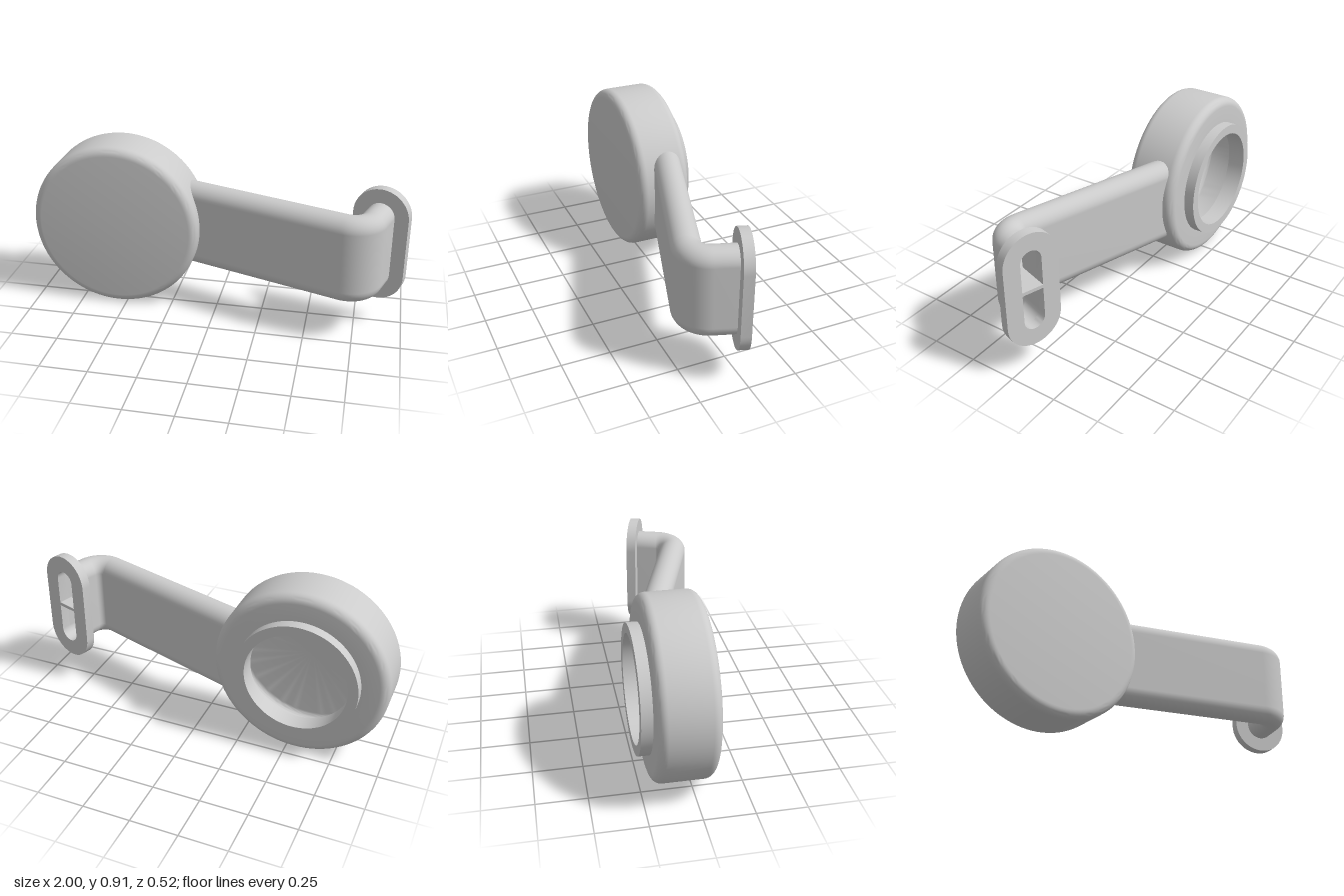
import * as THREE from 'three';
import { toCreasedNormals } from 'three/addons/utils/BufferGeometryUtils.js';

const material = new THREE.MeshStandardMaterial({ color: 0xcccccc });
const TILT = 0.314;              // angle of the arm in plan
const CX = -0.547, CY = 0.455;   // axis of the round housing

function part(name, geometry) {
  const mesh = new THREE.Mesh(geometry, material);
  mesh.name = name;
  return mesh;
}

// Points of a quarter round for a profile
function fillet(cx, cy, r, from, to, steps = 8) {
  return Array.from({ length: steps + 1 }, (_, i) => {
    const a = THREE.MathUtils.degToRad(from + (to - from) * i / steps);
    return new THREE.Vector2(cx + r * Math.cos(a), cy + r * Math.sin(a));
  });
}

// Upright stadium outline, counter-clockwise
function stadium(r, halfHeight, steps = 16) {
  const k = halfHeight - r;
  return [...fillet(0, k, r, 0, 180, steps), ...fillet(0, -k, r, 180, 360, steps)];
}

// Sweeps a section along the arm: straight run, right-angle bend, short neck.
// The first ring is trimmed to the curve of the round housing.
function sweepArm(section, endZ, cap = false) {
  const bend = { x: 0.699, z: -0.144, r: 0.105 }, steps = 16;
  const stations = [{ x: 0, z: bend.z + bend.r, dx: 0, dz: 1 }];
  for (let i = 0; i <= steps; i++) {
    const a = i / steps * Math.PI / 2, dx = Math.sin(a), dz = Math.cos(a);
    stations.push({ x: bend.x + bend.r * dx, z: bend.z + bend.r * dz, dx, dz });
  }
  stations.push({ x: bend.x + bend.r, z: endZ, dx: 1, dz: 0 });

  const positions = [], index = [], n = section.length;
  stations.forEach((s, i) => {
    section.forEach((p, j) => {
      let x = s.x + p.x * s.dx;
      const z = s.z + p.x * s.dz;
      if (i === 0) {
        const worldX = CX + Math.sqrt(0.43 ** 2 - p.y ** 2);
        x = (worldX + z * Math.sin(TILT)) / Math.cos(TILT);
      }
      positions.push(x, p.y, z);
      if (i < stations.length - 1) {
        const a = i * n + j, b = i * n + (j + 1) % n;
        index.push(a, a + n, b, b, a + n, b + n);
      }
    });
  });
  if (cap) {
    const o = (stations.length - 1) * n;
    for (let j = 1; j < n - 1; j++) index.push(o, o + j + 1, o + j);
  }
  const g = new THREE.BufferGeometry();
  g.setAttribute('position', new THREE.Float32BufferAttribute(positions, 3));
  g.setIndex(index);
  g.computeVertexNormals();
  return g;
}

export function createModel() {
  const model = new THREE.Group();
  model.name = 'wallArm';

  // Hollow round housing with an open collar at the back
  const profile = [
    new THREE.Vector2(0, 0.042),
    ...fillet(0.38, 0.012, 0.03, 90, 0),
    ...fillet(0.38, -0.135, 0.03, 0, -90),
    new THREE.Vector2(0.266, -0.165),
    new THREE.Vector2(0.266, -0.26),
    new THREE.Vector2(0.317, -0.26),
    new THREE.Vector2(0.317, -0.205),
    ...fillet(0.408, -0.16, 0.045, -90, 0),
    ...fillet(0.408, 0.04, 0.045, 0, 90),
    new THREE.Vector2(0, 0.085),
  ];
  const housing = part('roundHousing',
    toCreasedNormals(new THREE.LatheGeometry(profile, 96), 0.5));
  housing.rotation.x = Math.PI / 2;
  housing.position.set(CX, CY, 0);
  model.add(housing);

  // Arm assembly, turned as one
  const arm = new THREE.Group();
  arm.name = 'arm';
  arm.rotation.y = -TILT;
  arm.position.y = CY + 0.001;
  model.add(arm);

  // Hollow arm: outer skin and inner duct
  arm.add(part('armSkin', sweepArm(stadium(0.0735, 0.235), -0.26)));
  arm.add(part('armDuct', sweepArm(stadium(0.0565, 0.218).reverse(), -0.257)));

  // Thin rib dividing the duct
  const ribSection = [[0.057, -0.009], [0.057, 0.009], [-0.057, 0.009], [-0.057, -0.009]]
    .map(([x, y]) => new THREE.Vector2(x, y));
  arm.add(part('ductRib', toCreasedNormals(sweepArm(ribSection, -0.309, true), 0.5)));

  // Mounting flange with a slot
  const flange = new THREE.Shape(stadium(0.147, 0.309, 24));
  flange.holes.push(new THREE.Path(stadium(0.0565, 0.218)));
  const plate = part('mountingFlange', toCreasedNormals(
    new THREE.ExtrudeGeometry(flange, { depth: 0.052, bevelEnabled: false }), 0.5));
  plate.position.set(0.804, 0, -0.309);
  arm.add(plate);

  return model;
}
